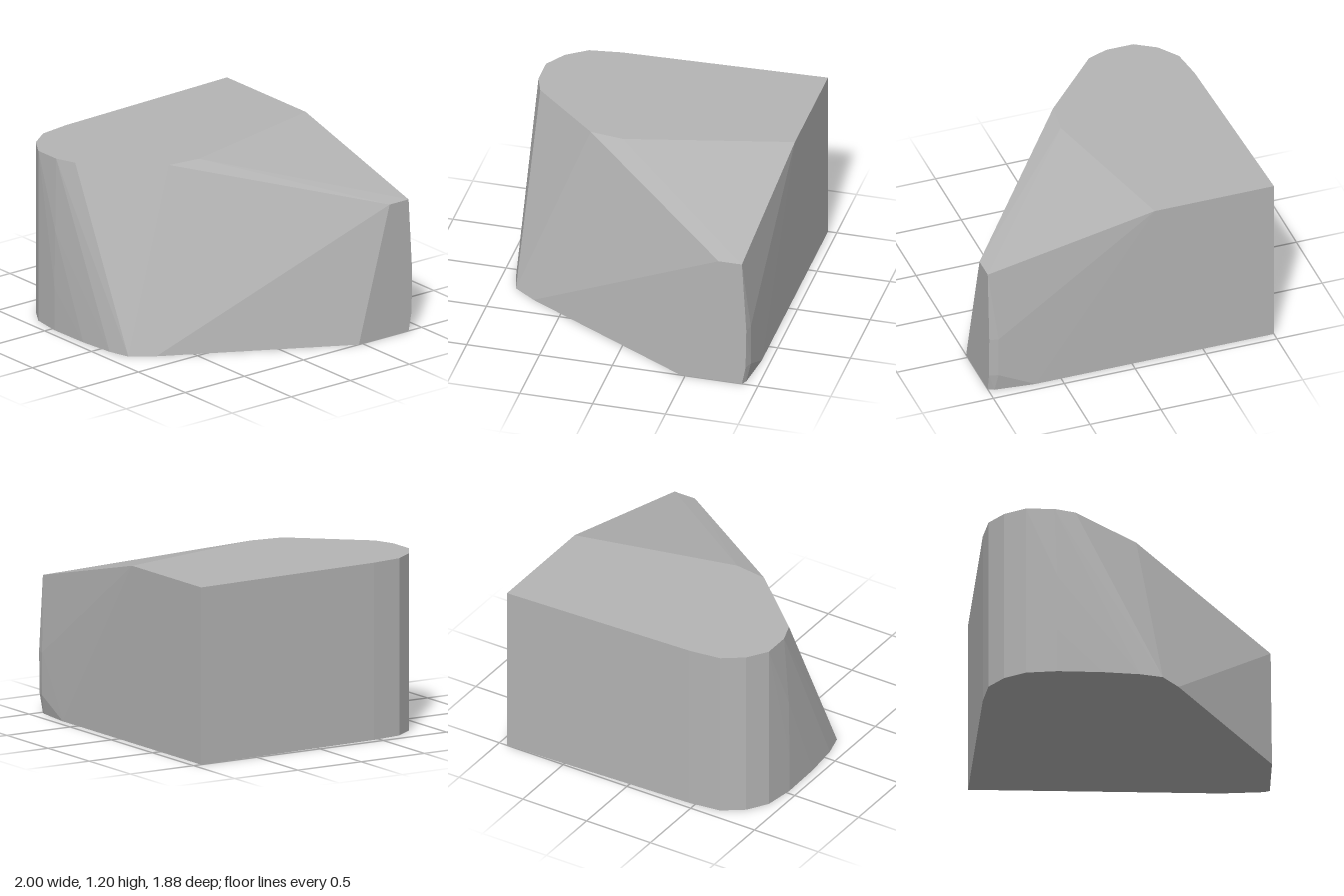
import * as THREE from 'three';
import { ConvexGeometry } from 'three/addons/geometries/ConvexGeometry.js';

export function createModel() {
  const stone = new THREE.MeshStandardMaterial({ color: 0xb4b4b4 });
  stone.name = 'stone grey';

  // Rounded left side shared by the top and the base: [x, z]
  const side = [[-1, -0.94], [-0.95, 0.46], [-0.92, 0.68], [-0.82, 0.82], [-0.68, 0.91]];
  const top = [...side, [-0.49, 0.91], [-0.35, 0.86], [0.07, 0.4], [0.1, 0.17], [-0.16, -0.94]];
  const base = [...side, [-0.47, 0.94], [-0.17, 0.935], [0.08, 0.91], [0.23, 0.87], [0.34, 0.72],
    [1, -0.47], [1, -0.89], [0.96, -0.91], [0.68, -0.94]];

  const at = (y) => ([x, z]) => new THREE.Vector3(x, y, z);
  const points = [
    ...top.map(at(1.2)),
    ...base.map(at(0)),
    // Lowered right end and its slightly bulging back edge
    ...[[1, 0.93, -0.73], [1, 0.93, -0.89], [1, 0.42, -0.92], [1, 0.13, -0.915],
      [0.94, 0.42, -0.935], [0.94, 0.13, -0.935],
      // Bulge of the front face
      [-0.47, 0.7, 0.934], [-0.47, 0.3, 0.94]].map((p) => new THREE.Vector3(...p)),
  ];

  const block = new THREE.Mesh(new ConvexGeometry(points), stone);
  block.name = 'facetedBlock';

  const group = new THREE.Group();
  group.name = 'facetedStone';
  group.add(block);
  return group;
}
